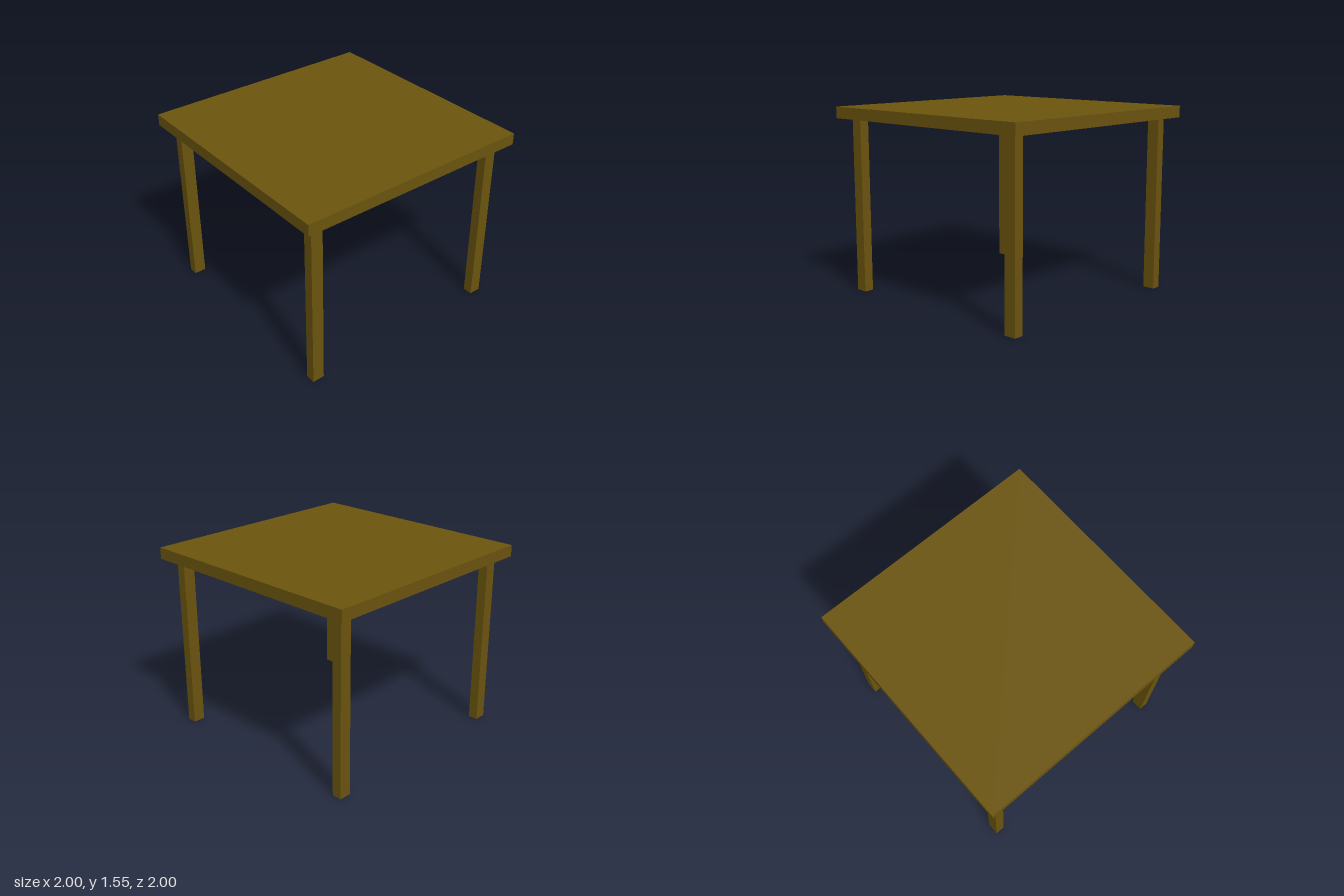
import * as THREE from 'three';

export function createModel() {
  const table = new THREE.Group();
  table.name = 'table';
  const wood = new THREE.MeshStandardMaterial({ color: 0x6b540e });

  const height = 1.55, topThickness = 0.095;
  const legHeight = height - topThickness;

  // Square slab top
  const top = new THREE.Mesh(new THREE.BoxGeometry(2, topThickness, 2), wood);
  top.name = 'tableTop';
  top.position.y = height - topThickness / 2;
  table.add(top);

  // Four straight legs, slightly deeper than wide, inset from the corners
  const legGeometry = new THREE.BoxGeometry(0.08, legHeight, 0.1);
  for (const [side, x] of [['Left', 0.866], ['Right', -0.866]]) {
    for (const [end, z] of [['front', 0.859], ['back', -0.859]]) {
      const leg = new THREE.Mesh(legGeometry, wood);
      leg.name = `${end}${side}Leg`;
      leg.position.set(x, legHeight / 2, z);
      table.add(leg);
    }
  }

  return table;
}
